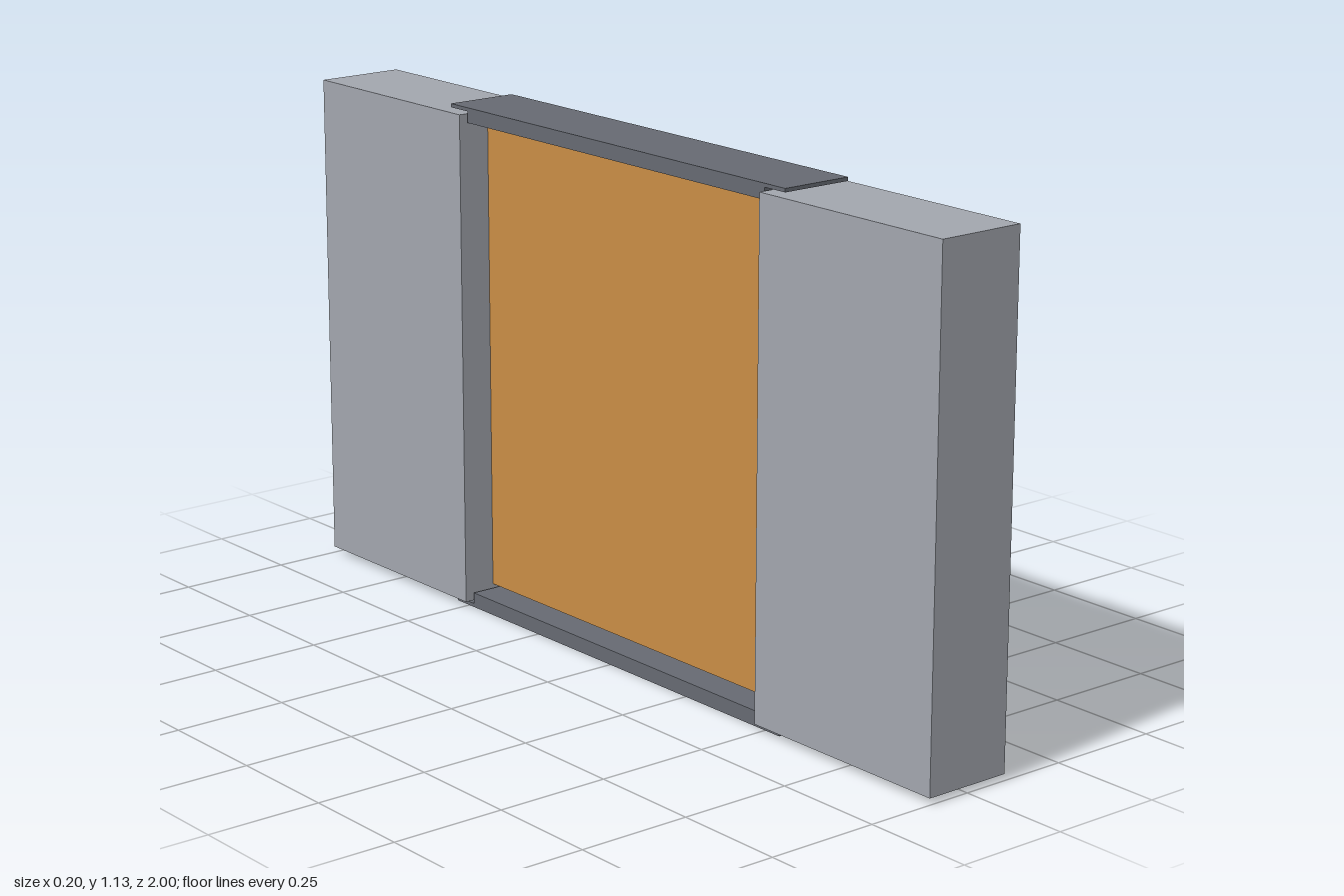
import * as THREE from 'three';

export function createModel() {
  const model = new THREE.Group();
  model.name = 'framedPanel';

  const blockGrey = new THREE.MeshStandardMaterial({ color: 0xa2a6ae });
  blockGrey.name = 'light grey';
  const railGrey = new THREE.MeshStandardMaterial({ color: 0x666a72 });
  railGrey.name = 'dark grey';
  const panelOrange = new THREE.MeshStandardMaterial({ color: 0xc98d45 });
  panelOrange.name = 'orange';

  const height = 1.127;
  const midY = height / 2;

  // Box given by its full width (x), y range and z range
  function addBox(parent, name, material, width, y0, y1, z0, z1) {
    const mesh = new THREE.Mesh(new THREE.BoxGeometry(width, y1 - y0, z1 - z0), material);
    mesh.position.set(0, (y0 + y1) / 2, (z0 + z1) / 2);
    mesh.name = name;
    parent.add(mesh);
  }

  // End blocks
  addBox(model, 'frontBlock', blockGrey, 0.2, 0.014, height - 0.014, 0.488, 1);
  addBox(model, 'backBlock', blockGrey, 0.2, 0.014, height - 0.014, -1, -0.488);

  // Thin panel held between the blocks
  addBox(model, 'panel', panelOrange, 0.05, 0.041, height - 0.041, -0.488, 0.488);

  // T-shaped rails: a filler between the blocks and a lip reaching over them
  const lip = 0.008, depth = 0.033, web = 0.483, reach = 0.543, halfWidth = 0.082;
  const profile = new THREE.Shape([
    [-reach, 0], [reach, 0], [reach, lip], [web, lip],
    [web, depth], [-web, depth], [-web, lip], [-reach, lip],
  ].map(([z, y]) => new THREE.Vector2(z, y)));
  const railGeometry = new THREE.ExtrudeGeometry(profile, { depth: halfWidth * 2, bevelEnabled: false });
  railGeometry.translate(0, -midY, -halfWidth);
  railGeometry.rotateY(Math.PI / 2);

  for (const [name, turn] of [['bottomRail', 0], ['topRail', Math.PI]]) {
    const rail = new THREE.Mesh(railGeometry, railGrey);
    rail.name = name;
    rail.position.y = midY;
    rail.rotation.x = turn;
    model.add(rail);
  }

  return model;
}
